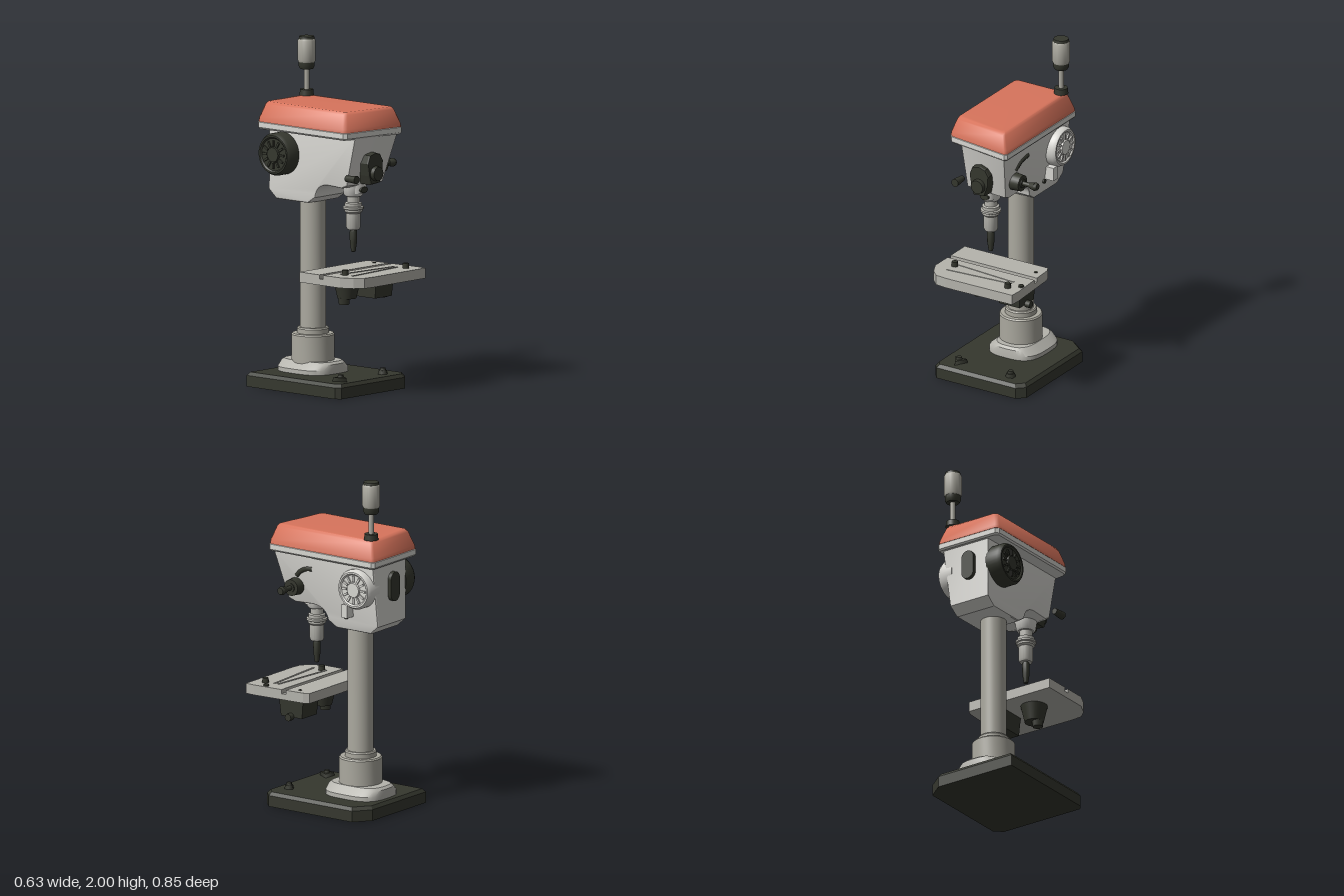
import * as THREE from 'three';
import { toCreasedNormals } from 'three/addons/utils/BufferGeometryUtils.js';

const material = (name, color) => {
  const m = new THREE.MeshStandardMaterial({ color });
  m.name = name;
  return m;
};

// Stacks convex outlines; each ring is [y, [[x, z], ...]], counterclockwise seen from above
function loft(rings) {
  const out = [];
  const at = (r, i) => {
    const p = rings[r][1][i % rings[r][1].length];
    return [p[0], rings[r][0], p[1]];
  };
  const n = rings[0][1].length, last = rings.length - 1;
  for (let r = 0; r < last; r++) {
    for (let i = 0; i < n; i++) {
      out.push(...at(r, i), ...at(r, i + 1), ...at(r + 1, i + 1));
      out.push(...at(r, i), ...at(r + 1, i + 1), ...at(r + 1, i));
    }
  }
  for (let i = 1; i < n - 1; i++) {
    out.push(...at(last, 0), ...at(last, i), ...at(last, i + 1));
    out.push(...at(0, 0), ...at(0, i + 1), ...at(0, i));
  }
  const g = new THREE.BufferGeometry();
  g.setAttribute('position', new THREE.Float32BufferAttribute(out, 3));
  g.computeVertexNormals();
  return g;
}

// Shrinks an outline towards its middle by fixed amounts
function inset(pts, dx, dz = dx) {
  const xs = pts.map(p => p[0]), zs = pts.map(p => p[1]);
  const mid = a => (Math.min(...a) + Math.max(...a)) / 2;
  const half = a => (Math.max(...a) - Math.min(...a)) / 2;
  const cx = mid(xs), cz = mid(zs), sx = 1 - dx / half(xs), sz = 1 - dz / half(zs);
  return pts.map(([x, z]) => [cx + (x - cx) * sx, cz + (z - cz) * sz]);
}

// Rounded-square outline
function squircle(cx, cz, rx, rz, n = 40) {
  const bend = v => Math.sign(v) * Math.abs(v) ** 0.65;
  return Array.from({ length: n }, (_, i) => {
    const t = i / n * Math.PI * 2;
    return [cx + rx * bend(Math.cos(t)), cz - rz * bend(Math.sin(t))];
  });
}

const lathe = (profile, sides = 40) => toCreasedNormals(
  new THREE.LatheGeometry(profile.map(p => new THREE.Vector2(...p)), sides), 0.6);

export function createModel() {
  const model = new THREE.Group();
  model.name = 'drillPress';
  const light = material('light enamel', 0xd8d7d2);
  const iron = material('cast iron', 0xb5b4ad);
  const grey = material('grey metal', 0xaba99f);
  const dark = material('dark plastic', 0x35372e);
  const red = material('red cover', 0xd8745c);

  const add = (name, geometry, mat, x = 0, y = 0, z = 0, parent = model) => {
    const m = new THREE.Mesh(geometry, mat);
    m.name = name;
    m.position.set(x, y, z);
    parent.add(m);
    return m;
  };
  const box = (name, w, h, d, mat, x, y, z, parent) =>
    add(name, new THREE.BoxGeometry(w, h, d), mat, x, y, z, parent);
  const cyl = (name, r0, r1, h, mat, x, y, z, axis = 'y', sides = 28) => {
    const m = add(name, new THREE.CylinderGeometry(r1, r0, h, sides), mat, x, y, z);
    if (axis === 'x') m.rotation.z = -Math.PI / 2;
    if (axis === 'z') m.rotation.x = Math.PI / 2;
    return m;
  };

  // Base plate with clipped corners
  const baseLine = [[-0.315, -0.415], [-0.315, 0.275], [-0.29, 0.305], [0.25, 0.305],
    [0.297, 0.26], [0.297, -0.34], [0.2, -0.415]];
  add('base', loft([[0, baseLine], [0.065, baseLine], [0.085, inset(baseLine, 0.015)]]), dark);
  for (const [x, z, sides] of [[-0.195, 0.21, 3], [0.16, 0.215, 6]]) {
    const r = sides === 3 ? 0.05 : 0.03;
    cyl('baseBolt', r, r - 0.005, 0.025, dark, x, 0.095, z, 'y', sides);
    cyl('baseBoltHead', 0.02, 0.016, 0.02, dark, x, 0.112, z, 'y', 6);
  }

  // Column with rounded foot and collar
  const cx = -0.015, cz = -0.17;
  const footLine = squircle(-0.005, cz - 0.01, 0.168, 0.19);
  add('columnFoot', toCreasedNormals(loft([[0.08, footLine], [0.11, footLine],
    [0.14, inset(footLine, 0.035, 0.004)], [0.153, inset(footLine, 0.05, 0.02)]]), 0.6), iron);
  add('column', lathe([[0.125, 0.14], [0.125, 0.3], [0.118, 0.308], [0.092, 0.308], [0.092, 0.335],
    [0.086, 0.343], [0.075, 0.343], [0.075, 1.12]]), grey, cx, 0, cz);

  // Work table: plate with two raised strips and a cross groove between
  const tableLine = [[-0.3, -0.015], [-0.3, 0.3], [-0.265, 0.375], [-0.22, 0.418], [-0.15, 0.425],
    [0.3, 0.42], [0.305, 0.36], [0.285, 0.02], [0.27, -0.015]];
  const backStrip = [[-0.3, -0.015], [-0.3, 0.14], [0.292, 0.14], [0.285, 0.02], [0.27, -0.015]];
  const frontStrip = [[-0.3, 0.17], ...tableLine.slice(1, 7), [0.294, 0.17]];
  add('tablePlate', loft([[0.65, tableLine], [0.685, tableLine]]), iron);
  add('tableBackStrip', loft([[0.685, backStrip], [0.71, backStrip]]), iron);
  add('tableFrontStrip', loft([[0.685, frontStrip], [0.71, frontStrip]]), iron);
  for (const s of [-1, 1]) {
    const rail = box('tableRail', 0.42, 0.005, 0.012, iron, 0, 0.711, 0.27 + s * 0.03);
    rail.rotation.y = s * 0.08;
  }
  for (const [x, z] of [[0.22, 0.34], [-0.2, 0.25]]) {
    cyl('tableBolt', 0.02, 0.018, 0.03, dark, x, 0.724, z, 'y', 8);
  }
  cyl('tablePin', 0.016, 0.016, 0.012, dark, 0.28, 0.714, 0.29);
  cyl('tableHole', 0.011, 0.011, 0.005, dark, 0.242, 0.711, 0.073);

  // Clamp parts below the table
  const clamp = [[0.08, 0.06], [0.08, 0.235], [0.232, 0.235], [0.232, 0.06]];
  add('clampBlock', loft([[0.535, inset(clamp, 0.005, 0.012)], [0.65, clamp]]), dark);
  cyl('clampKnob', 0.022, 0.022, 0.035, dark, 0.242, 0.538, 0.15, 'x', 10);
  cyl('tablePivot', 0.055, 0.078, 0.1, dark, -0.075, 0.6, 0.15);
  cyl('pivotNut', 0.03, 0.034, 0.04, dark, -0.1, 0.535, 0.15, 'y', 8);

  // Head: side outline pushed across x, upright on its right flank, sloping on its left
  const side = new THREE.Shape();
  side.moveTo(0.305, 1.5);
  side.lineTo(0.23, 1.225);
  side.lineTo(0.19, 1.21);
  side.lineTo(0.07, 1.215);
  side.quadraticCurveTo(-0.035, 1.215, -0.05, 1.13);
  side.lineTo(-0.1, 1.097);
  side.lineTo(-0.34, 1.097);
  side.lineTo(-0.39, 1.14);
  side.lineTo(-0.39, 1.5);
  side.closePath();
  const headGeo = new THREE.ExtrudeGeometry(side, { depth: 1.88, bevelEnabled: true, bevelThickness: 0.06,
    bevelSize: 0.012, bevelSegments: 2, curveSegments: 10 });
  headGeo.translate(0, 0, -0.94).rotateY(-Math.PI / 2);
  const p = headGeo.attributes.position;
  for (let i = 0; i < p.count; i++) {
    const leftEdge = 0.122 + (p.getY(i) - 1.085) * 0.137;
    const x = THREE.MathUtils.mapLinear(p.getX(i), -1, 1, -0.142, leftEdge);
    p.setX(i, x);
    // the front is slanted like the lid above it
    if (p.getZ(i) > 0) p.setZ(i, p.getZ(i) * (1 + 0.4 * (x - 0.18)));
  }
  add('head', toCreasedNormals(headGeo, 0.5), light);

  // Belt cover: pale rim and softly bevelled red lid with a slanted front
  const lidLine = [[-0.205, -0.425], [-0.225, -0.405], [-0.225, 0.255], [-0.205, 0.275],
    [0.19, 0.333], [0.205, 0.32], [0.205, -0.41], [0.19, -0.425]];
  const rimLow = inset(lidLine, 0.008);
  add('coverRim', loft([[1.495, rimLow], [1.505, lidLine], [1.535, lidLine], [1.54, rimLow]]), light);
  add('cover', toCreasedNormals(loft([[1.538, inset(lidLine, 0.002)], [1.56, inset(lidLine, 0.005)],
    [1.64, inset(lidLine, 0.032)], [1.655, inset(lidLine, 0.042, 0.045)],
    [1.656, inset(lidLine, 0.06, 0.065)]]), 0.95), red);

  // Upright grip on the cover
  const gx = 0.138, gz = -0.36;
  cyl('gripFoot', 0.042, 0.038, 0.035, dark, gx, 1.673, gz);
  cyl('gripRod', 0.016, 0.016, 0.14, grey, gx, 1.75, gz);
  add('gripCollar', lathe([[0, 1.81], [0.038, 1.81], [0.046, 1.825], [0.046, 1.852], [0, 1.852]]), dark, gx, 0, gz);
  add('grip', lathe([[0, 1.85], [0.048, 1.85], [0.052, 1.86], [0.052, 1.975], [0.047, 1.985], [0, 1.985]]), grey, gx, 0, gz);
  cyl('gripCap', 0.047, 0.043, 0.018, dark, gx, 1.991, gz);

  // Ribbed round housings on both flanks
  const housing = (name, dir, face, r, mat) => {
    const g = new THREE.Group();
    g.name = name;
    g.position.set(face, 1.357, -0.287);
    g.rotation.z = -dir * Math.PI / 2;
    model.add(g);
    add('drum', lathe([[0, -0.1], [r, -0.1], [r, -0.02], [r - 0.012, 0], [r - 0.022, 0], [r - 0.03, -0.008], [0, -0.008]]), mat, 0, 0, 0, g);
    add('hub', new THREE.CylinderGeometry(0.042, 0.046, 0.014, 24), mat, 0, -0.003, 0, g);
    for (let i = 0; i < 12; i++) {
      const a = i * Math.PI / 6;
      const rib = box('rib', 0.034, 0.012, 0.012, mat, Math.cos(a) * 0.066, -0.005, Math.sin(a) * 0.066, g);
      rib.rotation.y = -a;
    }
  };
  housing('sideDial', 1, 0.215, 0.118, light);
  housing('motorWheel', -1, -0.23, 0.124, dark);
  box('dialBracket', 0.08, 0.08, 0.04, light, 0.155, 1.215, -0.21);
  cyl('sideScrew', 0.013, 0.013, 0.02, dark, 0.134, 1.165, -0.18, 'x', 12);

  // Rear switch plate
  const rounded = new THREE.Shape();
  rounded.absarc(0, 0.045, 0.042, 0, Math.PI);
  rounded.absarc(0, -0.045, 0.042, Math.PI, 2 * Math.PI);
  add('rearPlate', new THREE.ExtrudeGeometry(rounded, { depth: 0.03, bevelEnabled: false }), dark, -0.01, 1.355, -0.425);

  // Front switch block with a round knob
  const plate = new THREE.Shape([[-0.035, -0.09], [0.035, -0.085], [0.058, -0.02], [0.062, 0.04],
    [0.04, 0.075], [0, 0.088], [-0.045, 0.075], [-0.062, 0.03], [-0.05, -0.04]].map(q => new THREE.Vector2(...q)));
  add('frontSwitch', new THREE.ExtrudeGeometry(plate, { depth: 0.075, bevelThickness: 0.008,
    bevelSize: 0.004, bevelSegments: 1 }), dark, 0, 1.315, 0.222);
  cyl('frontSwitchKnob', 0.044, 0.04, 0.03, dark, 0, 1.285, 0.314, 'z');

  // Feed lever on one flank, small handle on the other, curved scale slot
  cyl('leverHub', 0.052, 0.048, 0.06, dark, 0.18, 1.3, 0.165, 'x');
  cyl('leverRing', 0.028, 0.026, 0.02, dark, 0.206, 1.3, 0.165, 'x');
  cyl('leverRod', 0.014, 0.014, 0.09, dark, 0.245, 1.3, 0.165, 'x');
  cyl('leverGrip', 0.018, 0.026, 0.035, dark, 0.28, 1.3, 0.165, 'x', 12);
  cyl('leverTip', 0.026, 0.02, 0.016, dark, 0.305, 1.3, 0.165, 'x', 12);
  cyl('sideHandle', 0.018, 0.024, 0.08, dark, -0.163, 1.265, 0.267, 'z', 14);
  const arc = new THREE.CatmullRomCurve3([[0.153, 1.365, 0.16], [0.158, 1.395, 0.13], [0.161, 1.415, 0.09],
    [0.163, 1.422, 0.04]].map(q => new THREE.Vector3(...q)));
  add('scaleSlot', new THREE.TubeGeometry(arc, 16, 0.016, 8), dark);

  // Spindle boss with rounded nose, chuck and bit
  const sx = -0.018, sz = 0.148;
  add('spindleBoss', lathe([[0, 1.14], [0.048, 1.14], [0.056, 1.15], [0.062, 1.19], [0.075, 1.24]]), light, sx, 0, sz);
  cyl('bossNose', 0.045, 0.055, 0.07, light, -0.012, 1.195, 0.175);
  cyl('bossBadge', 0.028, 0.028, 0.03, dark, -0.012, 1.182, 0.215, 'z').scale.z = 0.65;
  add('chuck', lathe([[0, 0.945], [0.036, 0.945], [0.042, 0.96], [0.042, 1.04], [0.052, 1.05], [0.052, 1.062],
    [0.06, 1.066], [0.06, 1.078], [0.05, 1.082], [0.05, 1.1], [0.038, 1.105], [0.038, 1.16]]), iron, sx, 0, sz);
  add('bit', lathe([[0, 0.81], [0.013, 0.815], [0.021, 0.87], [0.022, 0.93], [0.016, 0.95], [0, 0.95]], 14), dark, sx, 0, sz);

  return model;
}
